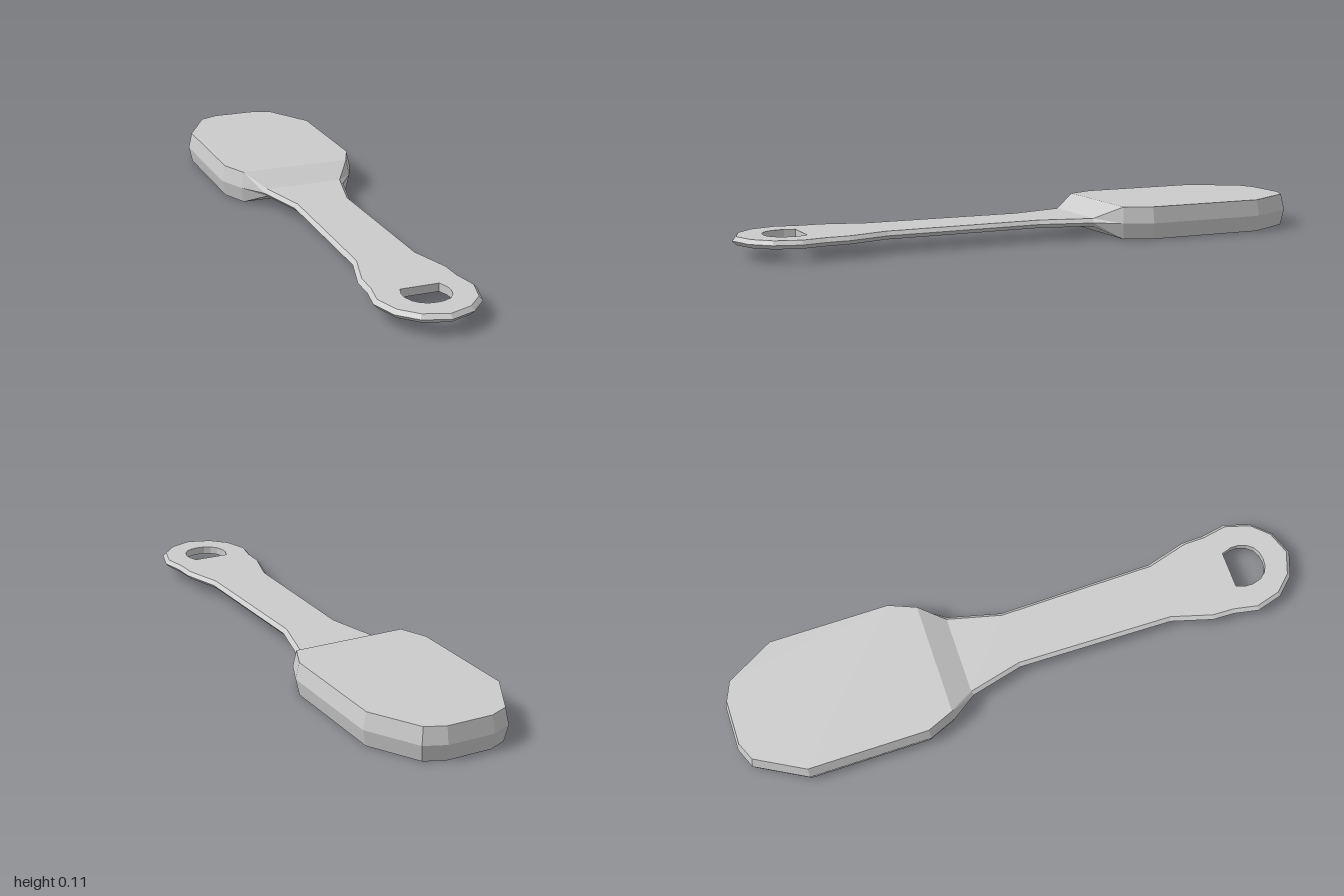
import * as THREE from 'three';

const MID = 0.055, HEAD = 0.055, HANDLE = 0.0135, INSET = 0.012;
const RAMP_START = 4, RAMP_END = 5; // outline points where the head slopes down to the handle

// Half outline on +x, from the head's end to the handle's tip: [x, z]
const half = [
  [0.08, -1], [0.15, -0.97], [0.245, -0.8], [0.245, -0.38], [0.205, -0.284], [0.147, -0.2],
  [0.102, -0.02], [0.11, 0.52], [0.15, 0.66], [0.152, 0.735], [0.168, 0.82], [0.142, 0.91],
  [0.085, 0.97], [0, 1],
].map(([x, z]) => new THREE.Vector2(x, z));

// Mirrors a half outline into a closed loop
const mirror = (pts) => [
  ...pts,
  ...pts.filter((p) => p.x > 1e-4).reverse().map((p) => new THREE.Vector2(-p.x, p.y)),
];

// Moves every point of a closed loop inward by a constant distance
function insetLoop(loop, d) {
  const n = loop.length;
  const normal = (a, b) => new THREE.Vector2(a.y - b.y, b.x - a.x).normalize();
  return loop.map((p, i) => {
    const n1 = normal(loop[(i + n - 1) % n], p), n2 = normal(p, loop[(i + 1) % n]);
    return p.clone().addScaledVector(n1.clone().add(n2), d / (1 + n1.dot(n2)));
  });
}

const outer = mirror(half);
const inner = insetLoop(outer, INSET);
const halfInner = inner.slice(0, half.length);
halfInner[half.length - 1].x = 0;
const zA = inner[RAMP_START].y, zB = inner[RAMP_END].y;

// Half thickness along the length
const thickness = (z) =>
  THREE.MathUtils.lerp(HEAD, HANDLE, THREE.MathUtils.clamp((z - zA) / (zB - zA), 0, 1));

// D-shaped hanging hole
const hole = [[0.064, 0.775], [0.075, 0.81], [0.075, 0.835], [0.066, 0.865], [0.048, 0.887],
  [0.025, 0.898], [0, 0.901]].map(([x, z]) => new THREE.Vector2(x, z));
const holeLoop = mirror(hole);

const material = new THREE.MeshStandardMaterial({ color: 0xcccccc, flatShading: true });

function addMesh(group, name, geometry) {
  const mesh = new THREE.Mesh(geometry, material);
  mesh.name = name;
  group.add(mesh);
}

// Flat face following the thickness, on the upper (+1) or lower (-1) side
function cap(loop, side, holePts) {
  const flat = (pts) => pts.map((p) => new THREE.Vector2(p.x, -p.y));
  const shape = new THREE.Shape(flat(loop));
  if (holePts) shape.holes.push(new THREE.Path(flat(holePts)));
  const geo = new THREE.ShapeGeometry(shape).rotateX(-Math.PI / 2);
  const pos = geo.attributes.position;
  for (let i = 0; i < pos.count; i++) pos.setY(i, MID + side * thickness(pos.getZ(i)));
  if (side < 0) geo.index.array.reverse();
  geo.computeVertexNormals();
  return geo;
}

// Band of quads between an upper and a lower loop
function wall(upper, upY, lower, lowY) {
  const v = [], n = upper.length;
  for (let i = 0; i < n; i++) {
    const j = (i + 1) % n;
    const at = (loop, fy, k) => [loop[k].x, fy(loop[k].y), loop[k].y];
    const a = at(upper, upY, i), b = at(upper, upY, j);
    const c = at(lower, lowY, i), d = at(lower, lowY, j);
    v.push(...a, ...b, ...c, ...b, ...d, ...c);
  }
  const geo = new THREE.BufferGeometry();
  geo.setAttribute('position', new THREE.Float32BufferAttribute(v, 3));
  geo.computeVertexNormals();
  return geo;
}

export function createModel() {
  const model = new THREE.Group();
  model.name = 'paddle';
  const top = (z) => MID + thickness(z), bottom = (z) => MID - thickness(z), middle = () => MID;

  // Upper and lower faces of the head, ramp and handle
  for (const [side, label] of [[1, 'Top'], [-1, 'Bottom']]) {
    addMesh(model, 'head' + label, cap(mirror(halfInner.slice(0, RAMP_START + 1)), side));
    addMesh(model, 'ramp' + label, cap(mirror(halfInner.slice(RAMP_START, RAMP_END + 1)), side));
    addMesh(model, 'handle' + label, cap(mirror(halfInner.slice(RAMP_END)), side, holeLoop));
  }

  // Bevelled rim, widest at mid height
  addMesh(model, 'upperRim', wall(inner, top, outer, middle));
  addMesh(model, 'lowerRim', wall(outer, middle, inner, bottom));

  // Inner wall of the hanging hole
  const reversed = [...holeLoop].reverse();
  addMesh(model, 'holeWall', wall(reversed, top, reversed, bottom));
  return model;
}
